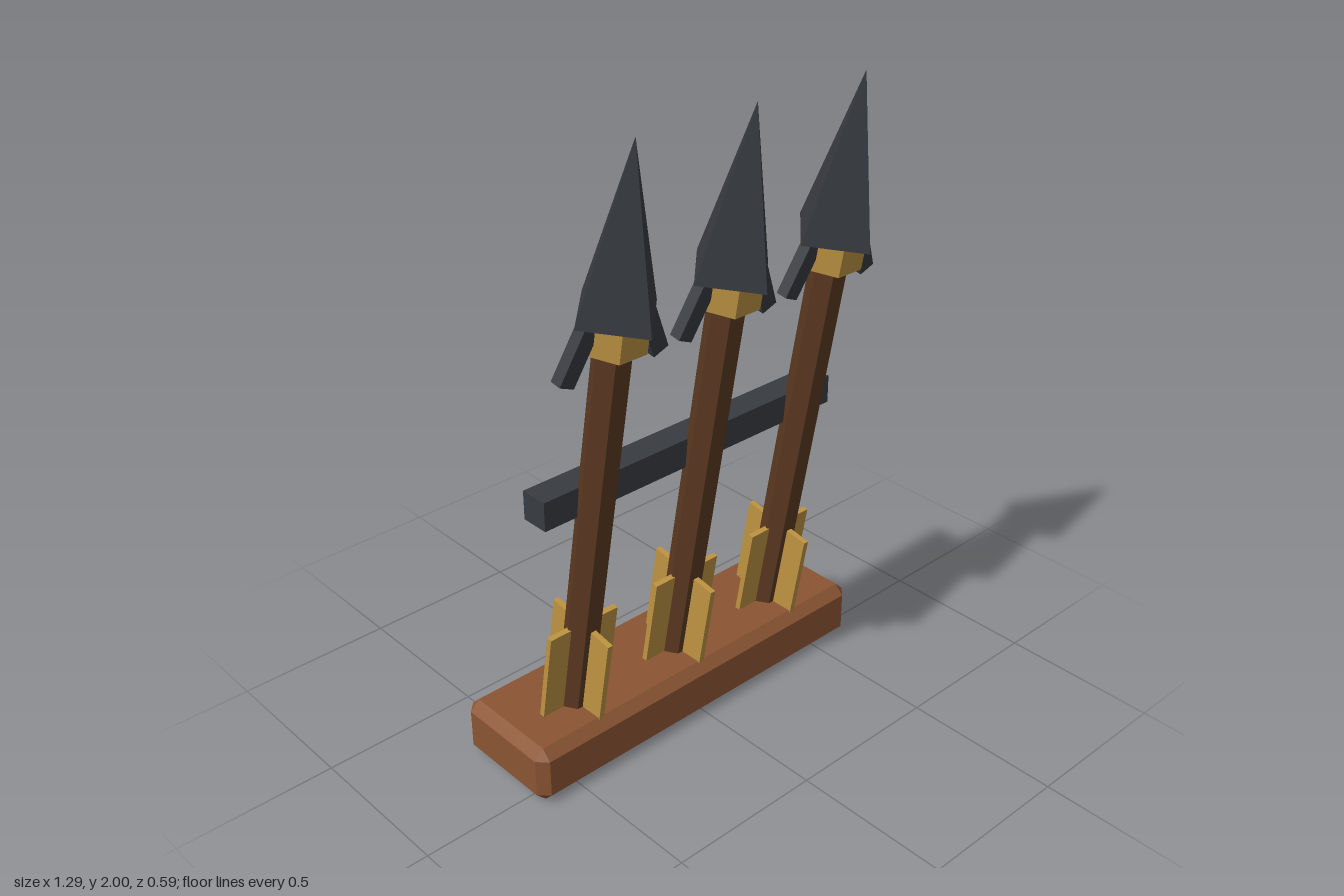
import * as THREE from 'three';
import { ConvexGeometry } from 'three/addons/geometries/ConvexGeometry.js';

const mat = (color) => new THREE.MeshStandardMaterial({ color, flatShading: true });
const baseWood = mat(0x8b5533), shaftWood = mat(0x5c3a22), gold = mat(0xbf9442), iron = mat(0x383b40);

function part(parent, name, geometry, material, x = 0, y = 0, z = 0) {
  const mesh = new THREE.Mesh(geometry, material);
  mesh.name = name;
  mesh.position.set(x, y, z);
  parent.add(mesh);
  return mesh;
}

// Box with every edge and corner chamfered by c
function chamferBox(w, h, d, c) {
  const [a, b, e] = [w / 2, h / 2, d / 2];
  const points = [];
  for (const sx of [-1, 1]) for (const sy of [-1, 1]) for (const sz of [-1, 1]) {
    points.push(
      new THREE.Vector3(sx * a, sy * (b - c), sz * (e - c)),
      new THREE.Vector3(sx * (a - c), sy * b, sz * (e - c)),
      new THREE.Vector3(sx * (a - c), sy * (b - c), sz * e)
    );
  }
  return new ConvexGeometry(points);
}

// Hexagonal prism with corners on the left and right
const hexagon = (r, h) => new THREE.CylinderGeometry(r, r, h, 6).rotateY(Math.PI / 6);

// One arrow, standing on the origin along +y
function createArrow() {
  const arrow = new THREE.Group();
  arrow.name = 'arrow';

  part(arrow, 'shaft', hexagon(0.055, 1.42), shaftWood, 0, 0.63);
  part(arrow, 'collar', hexagon(0.093, 0.09), gold, 0, 1.308);
  part(arrow, 'head', new THREE.ConeGeometry(0.136, 0.49, 4), iron, 0, 1.598);

  // Crossed tail fins
  part(arrow, 'sideFins', new THREE.BoxGeometry(0.247, 0.31, 0.018), gold, 0, 0.152);
  part(arrow, 'frontBackFins', new THREE.BoxGeometry(0.018, 0.31, 0.247), gold, 0, 0.152);

  // Barbs splaying out below the head
  for (const side of [-1, 1]) {
    const barb = part(arrow, side > 0 ? 'leftBarb' : 'rightBarb',
      new THREE.BoxGeometry(0.052, 0.16, 0.036), iron, side * 0.125, 1.27);
    barb.rotation.z = side * 0.42;
  }
  return arrow;
}

export function createModel() {
  const model = new THREE.Group();
  model.name = 'arrowRack';

  part(model, 'base', chamferBox(1.29, 0.185, 0.37, 0.031), baseWood, 0, 0.0925, -0.115);
  part(model, 'crossbar', new THREE.BoxGeometry(1.106, 0.09, 0.09), iron, 0, 0.925, -0.025);

  // Three arrows leaning forward
  for (const x of [-0.4, 0, 0.4]) {
    const arrow = createArrow();
    arrow.position.set(x, 0.185, -0.08);
    arrow.rotation.x = THREE.MathUtils.degToRad(10);
    model.add(arrow);
  }
  return model;
}
